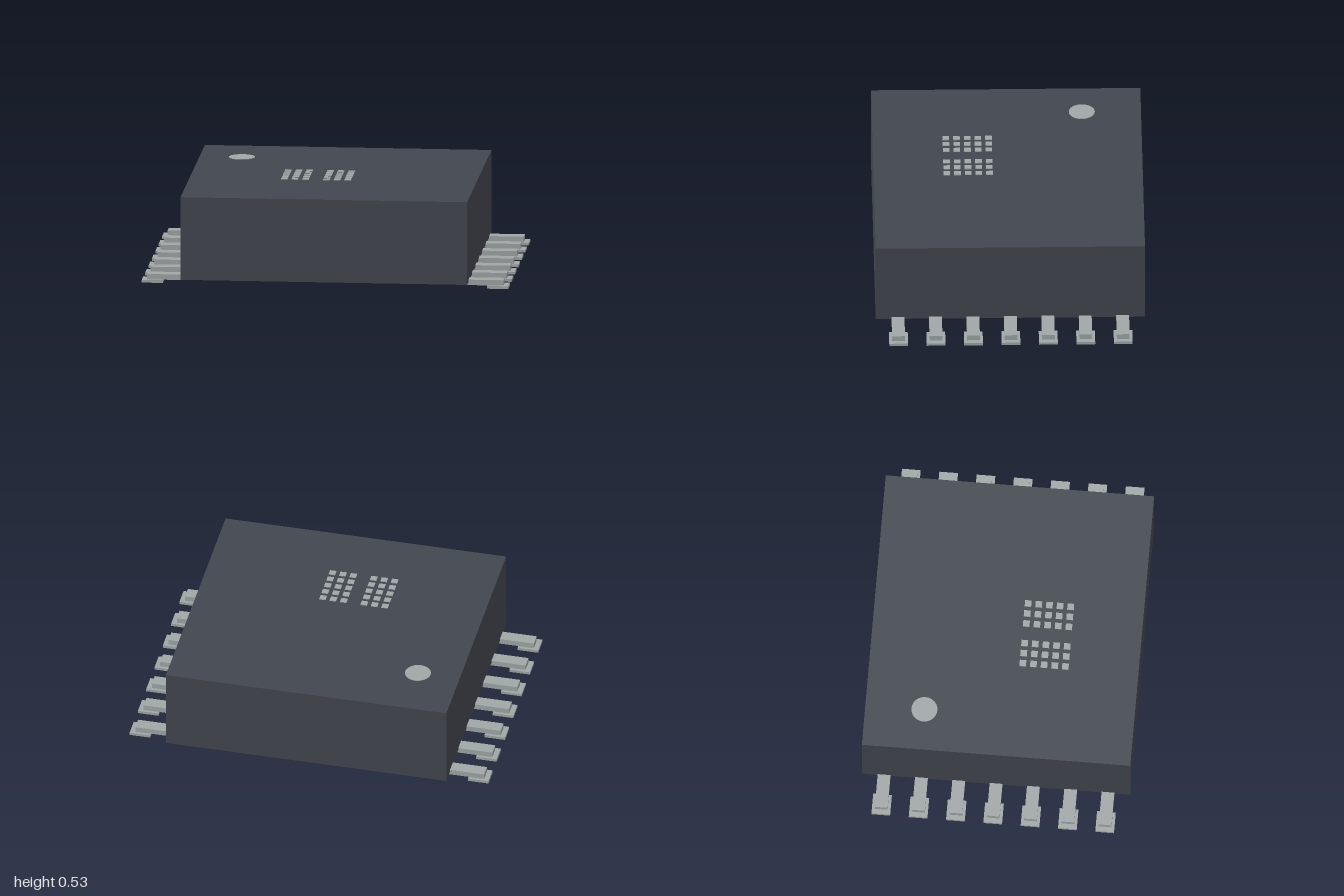
import * as THREE from 'three';

const bodyMaterial = new THREE.MeshStandardMaterial({ color: 0x42464f });
bodyMaterial.name = 'dark casing';
const metalMaterial = new THREE.MeshStandardMaterial({ color: 0xa0a6a6 });
metalMaterial.name = 'grey metal';

// Axis-aligned box given by its size and centre
function box(name, material, size, centre) {
  const mesh = new THREE.Mesh(new THREE.BoxGeometry(...size), material);
  mesh.name = name;
  mesh.position.set(...centre);
  return mesh;
}

// One terminal: a raised bar under the casing edge and a wider flat foot
function createLead(side, z) {
  const lead = new THREE.Group();
  lead.name = side > 0 ? 'leftLead' : 'rightLead';
  lead.add(box('leadBar', metalMaterial, [0.23, 0.03, 0.07], [side * 0.857, 0.03, z]));
  lead.add(box('leadFoot', metalMaterial, [0.115, 0.015, 0.102], [side * 0.9425, 0.0075, z]));
  return lead;
}

export function createModel() {
  const model = new THREE.Group();
  model.name = 'chipPackage';

  // Casing
  model.add(box('casing', bodyMaterial, [1.564, 0.458, 1.464], [0, 0.262, 0]));

  // Seven leads on each side
  for (const side of [-1, 1]) {
    for (let i = -3; i <= 3; i++) model.add(createLead(side, i * 0.2035));
  }

  // Round orientation mark on the top
  const dot = new THREE.Mesh(new THREE.CylinderGeometry(0.071, 0.071, 0.006, 24), metalMaterial);
  dot.name = 'orientationDot';
  dot.position.set(-0.55, 0.491, -0.41);
  model.add(dot);

  // Two plain blocks of small square plates hovering over the top
  const plates = new THREE.Group();
  plates.name = 'squarePlates';
  for (const startX of [-0.251, -0.021]) {
    for (let col = 0; col < 3; col++) {
      for (let row = 0; row < 5; row++) {
        plates.add(box('squarePlate', metalMaterial, [0.036, 0.004, 0.036],
          [startX + col * 0.058, 0.525, 0.102 + row * 0.058]));
      }
    }
  }
  model.add(plates);

  return model;
}
